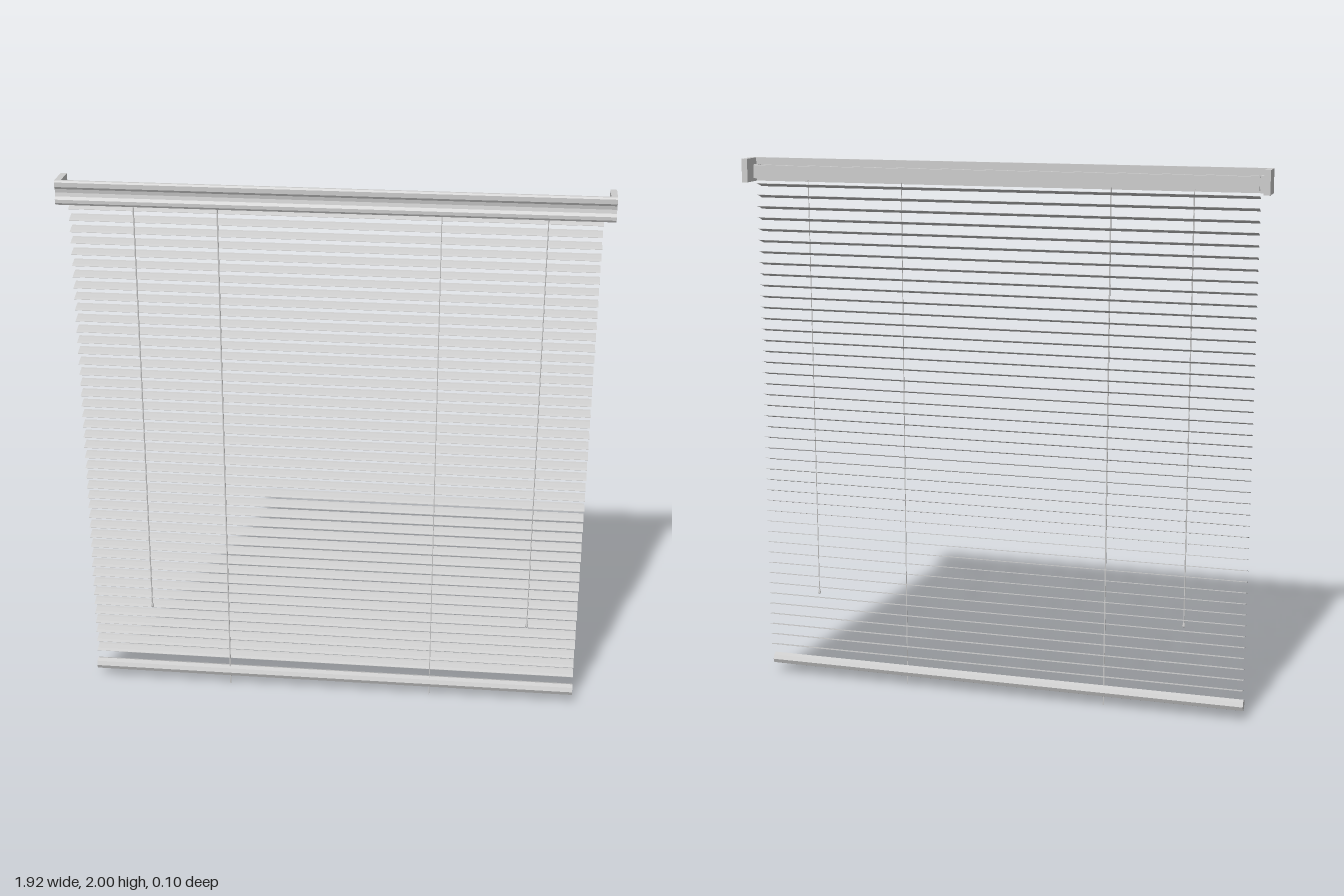
import * as THREE from 'three';

const material = new THREE.MeshStandardMaterial({ color: 0xcccccc, flatShading: true, side: THREE.DoubleSide });

function add(parent, name, geometry, x = 0, y = 0, z = 0) {
  const mesh = new THREE.Mesh(geometry, material);
  mesh.name = name;
  mesh.position.set(x, y, z);
  parent.add(mesh);
  return mesh;
}

// Extrudes a [z, y] cross-section along x, centred on x = 0
function alongX(points, length) {
  const shape = new THREE.Shape(points.map(([z, y]) => new THREE.Vector2(-z, y)));
  const geometry = new THREE.ExtrudeGeometry(shape, { depth: length, bevelEnabled: false });
  geometry.translate(0, 0, -length / 2);
  return geometry.rotateY(Math.PI / 2);
}

// Thin round cord between two points
function cord(parent, name, from, to, radius) {
  const path = new THREE.LineCurve3(new THREE.Vector3(...from), new THREE.Vector3(...to));
  return add(parent, name, new THREE.TubeGeometry(path, 1, radius, 6));
}

export function createModel() {
  const root = new THREE.Group();
  root.name = 'venetianBlind';

  // Moulded valance across the front
  add(root, 'valance', alongX([
    [0.033, 1.915], [0.046, 1.915], [0.05, 1.922], [0.05, 1.934], [0.043, 1.944],
    [0.04, 1.957], [0.042, 1.97], [0.047, 1.978], [0.047, 1.994], [0.043, 2], [0.033, 2],
  ], 1.92));

  // Valance returns at both ends
  for (const side of [-1, 1]) {
    add(root, side > 0 ? 'leftReturn' : 'rightReturn',
      new THREE.BoxGeometry(0.022, 0.085, 0.088), side * 0.949, 1.9575, -0.006);
  }

  // Open channel that carries the slats
  add(root, 'headrail', alongX([
    [-0.02, 1.927], [0.02, 1.927], [0.02, 1.975], [0.012, 1.975], [0.012, 1.971], [0.016, 1.971],
    [0.016, 1.931], [-0.016, 1.931], [-0.016, 1.971], [-0.008, 1.971], [-0.008, 1.975], [-0.02, 1.975],
  ], 1.84));
  for (const side of [-1, 1]) {
    add(root, 'headrailBracket', new THREE.BoxGeometry(0.02, 0.05, 0.03), side * 0.929, 1.951, 0.02);
  }

  // Slightly crowned slats, tilted down toward the front
  const slats = new THREE.Group();
  slats.name = 'slats';
  root.add(slats);
  const slatGeometry = alongX([
    [0.021, -0.0065], [0.0105, -0.002], [-0.0105, 0.0045], [-0.021, 0.0065],
    [-0.021, 0.0053], [-0.0105, 0.0033], [0.0105, -0.0032], [0.021, -0.0077],
  ], 1.84);
  const slatCount = 44;
  for (let i = 0; i < slatCount; i++) {
    add(slats, 'slat', slatGeometry, 0, 0.12 + i * (1.783 / (slatCount - 1)), 0.01);
  }

  // Faceted bottom rail
  const rail = new THREE.CylinderGeometry(0.022, 0.022, 1.84, 8).rotateZ(Math.PI / 2);
  add(root, 'bottomRail', rail, 0, 0.057, 0.028);

  // Lift cords running through the bottom rail
  cord(root, 'rightLiftCord', [-0.397, 0, 0.032], [-0.397, 1.93, 0.032], 0.0028);
  cord(root, 'leftLiftCord', [0.375, 0, 0.032], [0.375, 1.93, 0.032], 0.0018);

  // Pull cords with small tassels
  const tassel = new THREE.LatheGeometry([
    [0, 0.008], [0.003, 0.008], [0.006, -0.006], [0.004, -0.009], [0, -0.009],
  ].map(([r, y]) => new THREE.Vector2(r, y)).reverse(), 8);
  for (const [name, x, r] of [['right', -0.69, 0.0024], ['left', 0.735, 0.0018]]) {
    cord(root, name + 'PullCord', [x, 0.345, 0.044], [x, 1.93, 0.033], r);
    add(root, name + 'Tassel', tassel, x, 0.34, 0.044);
  }

  return root;
}
